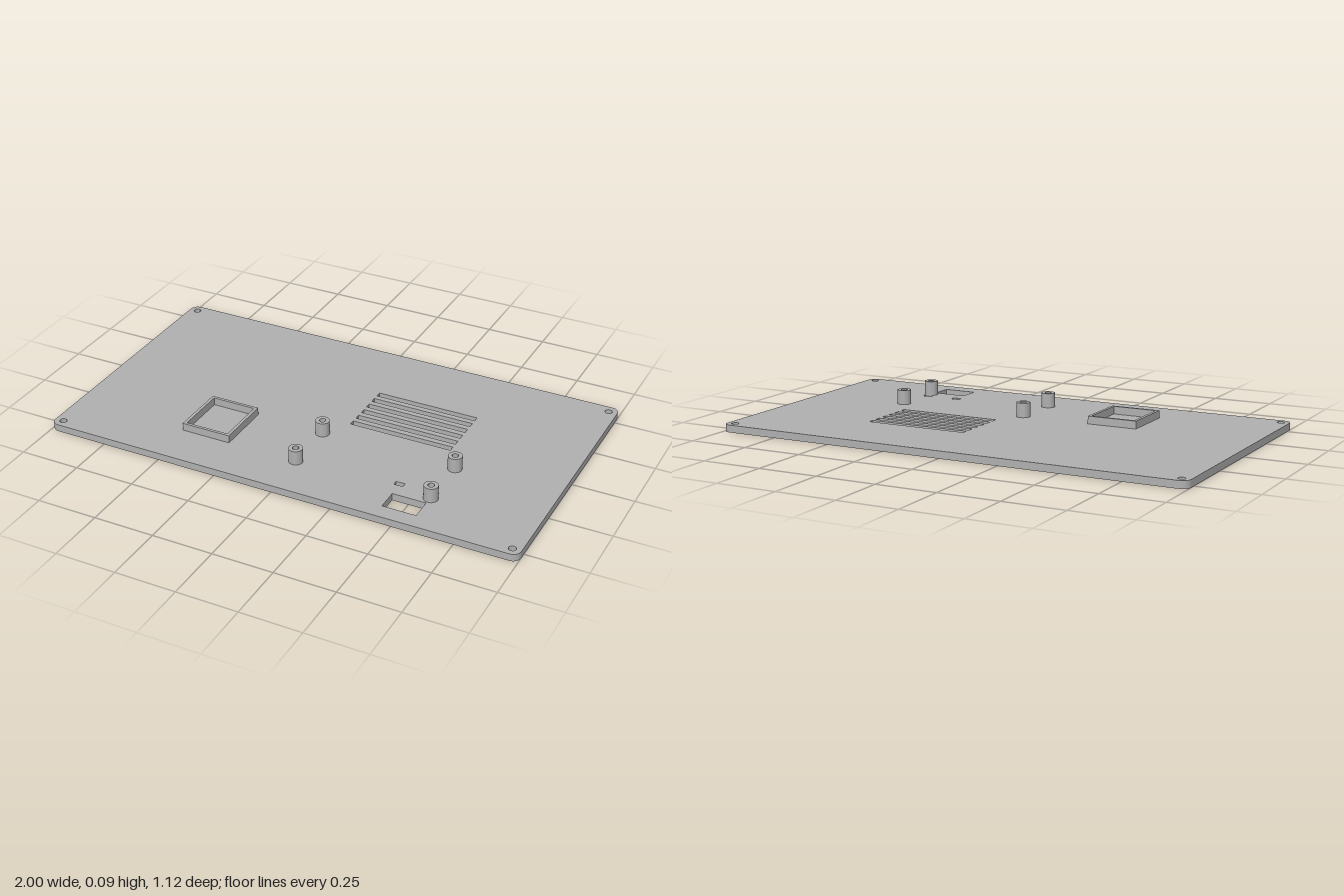
import * as THREE from 'three';
import { toCreasedNormals } from 'three/addons/utils/BufferGeometryUtils.js';

const PLATE_TOP = 0.03;

// Outlines are drawn in plan: shape x = model x, shape y = model z
function rectPath(Type, x0, x1, z0, z1) {
  const p = new Type();
  p.moveTo(x0, z0);
  p.lineTo(x1, z0);
  p.lineTo(x1, z1);
  p.lineTo(x0, z1);
  p.closePath();
  return p;
}

function circlePath(Type, x, z, r) {
  const p = new Type();
  p.absarc(x, z, r, 0, Math.PI * 2, false);
  return p;
}

function roundedRect(w, d, r) {
  const s = new THREE.Shape();
  const x = w / 2 - r, z = d / 2 - r;
  s.absarc(x, z, r, 0, Math.PI / 2, false);
  s.absarc(-x, z, r, Math.PI / 2, Math.PI, false);
  s.absarc(-x, -z, r, Math.PI, Math.PI * 1.5, false);
  s.absarc(x, -z, r, Math.PI * 1.5, Math.PI * 2, false);
  s.closePath();
  return s;
}

// Extrude a plan outline between two heights
function slab(name, shape, bottom, top, material) {
  const geo = new THREE.ExtrudeGeometry(shape, { depth: top - bottom, bevelEnabled: false, curveSegments: 16 });
  geo.rotateX(Math.PI / 2);
  geo.translate(0, top, 0);
  const mesh = new THREE.Mesh(toCreasedNormals(geo, 0.6), material);
  mesh.name = name;
  return mesh;
}

export function createModel() {
  const model = new THREE.Group();
  model.name = 'mountingPanel';
  const grey = new THREE.MeshStandardMaterial({ color: 0xb0b0b0 });
  grey.name = 'light grey';

  // Base plate with all its cut-outs
  const plate = roundedRect(2, 1.12, 0.033);
  for (const x of [-0.964, 0.964]) {
    for (const z of [-0.524, 0.524]) plate.holes.push(circlePath(THREE.Path, x, z, 0.015));
  }
  // Ventilation slots
  for (let i = 0; i < 6; i++) {
    const z = -0.24 + i * 0.0488;
    plate.holes.push(rectPath(THREE.Path, 0.074, 0.508, z, z + 0.025));
  }
  // Connector window and its two small clip holes
  plate.holes.push(rectPath(THREE.Path, 0.433, 0.572, 0.402, 0.492));
  for (const x of [0.43, 0.57]) {
    plate.holes.push(rectPath(THREE.Path, x - 0.019, x + 0.019, 0.321, 0.342));
  }
  model.add(slab('basePlate', plate, 0, PLATE_TOP, grey));

  // Raised rectangular frame
  const frame = rectPath(THREE.Shape, -0.499, -0.289, 0.133, 0.37);
  frame.holes.push(rectPath(THREE.Path, -0.486, -0.302, 0.145, 0.358));
  model.add(slab('raisedFrame', frame, PLATE_TOP, 0.062, grey));

  // Four hollow standoffs
  for (const x of [0.006, 0.575]) {
    for (const z of [0.141, 0.367]) {
      const ring = circlePath(THREE.Shape, x, z, 0.0285);
      ring.holes.push(circlePath(THREE.Path, x, z, 0.013));
      model.add(slab('standoff', ring, PLATE_TOP, 0.09, grey));
    }
  }
  return model;
}
